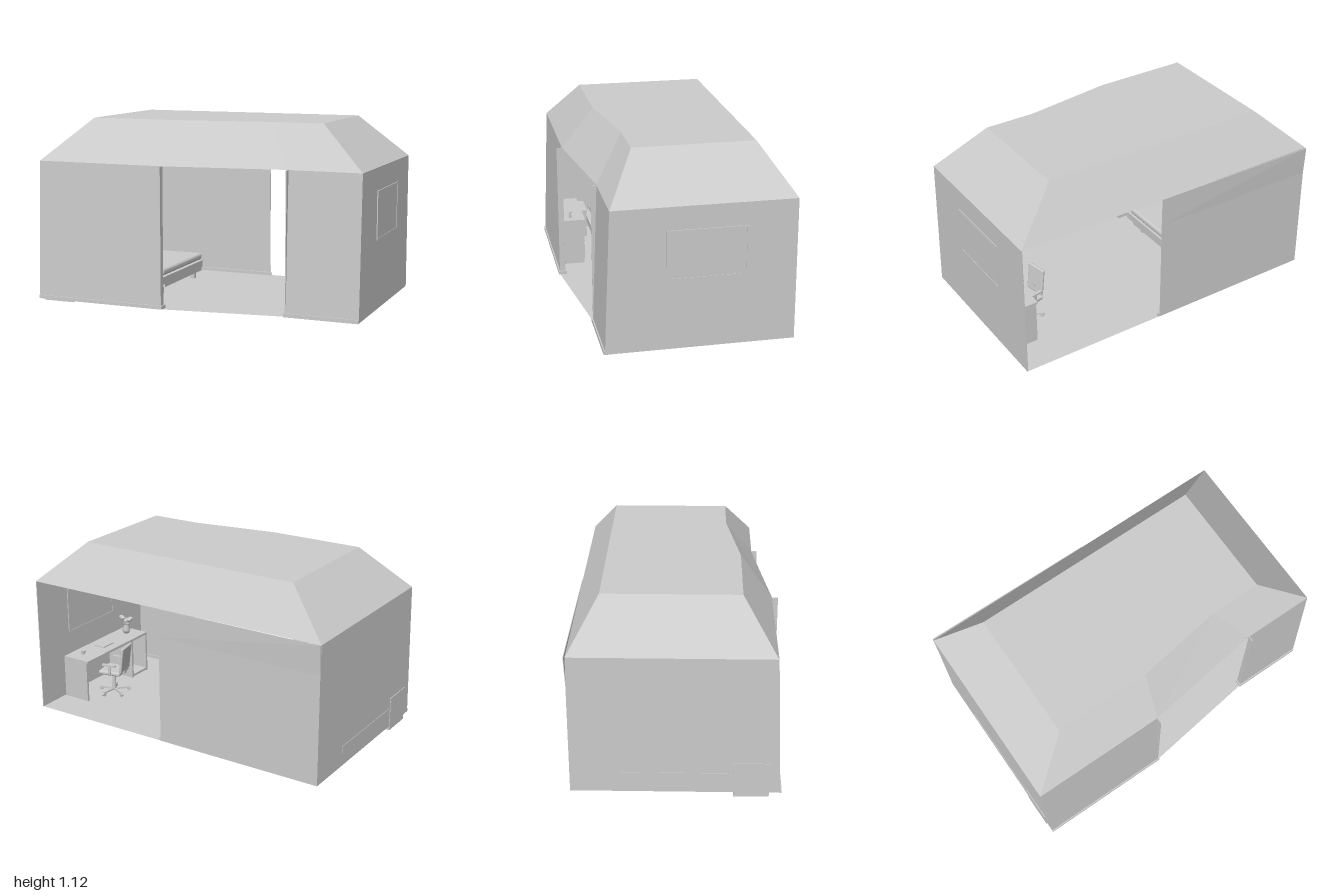
import * as THREE from 'three';
import { RoundedBoxGeometry } from 'three/addons/geometries/RoundedBoxGeometry.js';

const grey = new THREE.MeshStandardMaterial({ color: 0xcccccc, flatShading: true, side: THREE.DoubleSide });
const smooth = new THREE.MeshStandardMaterial({ color: 0xcccccc, side: THREE.DoubleSide });
const FLOOR = 0.025, TOP = 0.865, RIDGE = 1.12;

function add(parent, name, geometry, material = grey) {
  const mesh = new THREE.Mesh(geometry, material);
  mesh.name = name;
  parent.add(mesh);
  return mesh;
}

// Box given by its two extreme corners
function box(parent, name, x0, x1, y0, y1, z0, z1) {
  const mesh = add(parent, name, new THREE.BoxGeometry(x1 - x0, y1 - y0, z1 - z0));
  mesh.position.set((x0 + x1) / 2, (y0 + y1) / 2, (z0 + z1) / 2);
  return mesh;
}

// Moves the upper vertices of a box in z by a rule of local x and z
function lean(mesh, shift) {
  const pos = mesh.geometry.attributes.position;
  for (let i = 0; i < pos.count; i++)
    if (pos.getY(i) > 0) pos.setZ(i, pos.getZ(i) + shift(pos.getX(i), pos.getZ(i)));
  mesh.geometry.computeVertexNormals();
}

function cylinder(parent, name, r0, r1, h, x, y, z, sides = 20) {
  const mesh = add(parent, name, new THREE.CylinderGeometry(r0, r1, h, sides), smooth);
  mesh.position.set(x, y + h / 2, z);
  return mesh;
}

function group(parent, name) {
  const g = new THREE.Group();
  g.name = name;
  parent.add(g);
  return g;
}

// Horizontal polygon from [x, z] points, facing up
function flat(points, y) {
  const g = new THREE.ShapeGeometry(new THREE.Shape(points.map(([x, z]) => new THREE.Vector2(x, -z))));
  return g.rotateX(-Math.PI / 2).translate(0, y, 0);
}

// Sloping roof faces between the eaves and the upper ring
function roofSlopes(eaves, upper) {
  const p = [];
  eaves.forEach((a, i) => {
    const j = (i + 1) % eaves.length, b = eaves[j], c = upper[j], d = upper[i];
    const A = [a[0], TOP, a[1]], B = [b[0], TOP, b[1]], C = [c[0], RIDGE, c[1]], D = [d[0], RIDGE, d[1]];
    p.push(...A, ...B, ...C, ...A, ...C, ...D);
  });
  const g = new THREE.BufferGeometry();
  g.setAttribute('position', new THREE.Float32BufferAttribute(p, 3));
  g.computeVertexNormals();
  return g;
}

function buildShell(root) {
  const s = group(root, 'shell');
  add(s, 'floor', flat([[-0.995, 0.595], [-0.18, 0.595], [0.55, 0.495], [0.993, 0.495], [0.993, -0.59], [-0.995, -0.59]], FLOOR));
  box(s, 'leftSideWall', 0.988, 0.993, FLOOR, TOP, -0.59, 0.46);
  box(s, 'rightSideWall', -0.995, -0.99, FLOOR, TOP, -0.59, 0.56);
  // Front walls taper to the eaves; upright jambs frame the opening
  for (const [name, x0, x1, z] of [['frontWallWide', -0.995, -0.18, 0.56], ['frontWallNarrow', 0.557, 0.993, 0.46]])
    lean(box(s, name, x0, x1, FLOOR, TOP, z, z + 0.035), (x, dz) => (dz > 0 ? -0.034 : 0));
  box(s, 'wideJamb', -0.184, -0.179, FLOOR, TOP, 0.56, 0.595);
  box(s, 'narrowJamb', 0.555, 0.56, FLOOR, TOP, 0.46, 0.495);
  // Back wall, its upper band leaning out slightly towards one corner
  box(s, 'backWall', -0.995, 0.07, FLOOR, 0.69, -0.592, -0.588);
  const band = box(s, 'backWallBand', -0.995, 0.07, 0.69, TOP, -0.592, -0.588);
  lean(band, x => (x < 0 ? -0.009 : -0.002));
  // Skirting boards
  box(s, 'frontSkirtingWide', -0.995, -0.17, FLOOR, 0.045, 0.552, 0.602);
  box(s, 'frontSkirtingNarrow', 0.547, 0.99, 0.023, 0.045, 0.452, 0.502);
  box(s, 'backSkirting', -0.99, 0.08, FLOOR, 0.045, -0.59, -0.575);
  // Hipped roof with a flat top
  const eaves = [[-0.995, 0.56], [-0.18, 0.56], [0.55, 0.46], [0.993, 0.46], [0.993, -0.59], [-0.995, -0.59]];
  const upper = [[-0.72, 0.37], [-0.14, 0.37], [0.4, 0.29], [0.71, 0.29], [0.71, -0.42], [-0.72, -0.42]];
  add(s, 'roofSlopes', roofSlopes(eaves, upper));
  add(s, 'roofTop', flat(upper, RIDGE));
  // Window in the side wall
  const w = group(s, 'window');
  box(w, 'windowPane', 0.985, 0.996, 0.45, 0.72, -0.3, 0.14);
  for (const y of [0.44, 0.72]) box(w, 'windowRail', 0.982, 0.999, y, y + 0.01, -0.31, 0.15);
  for (const z of [-0.31, 0.14]) box(w, 'windowStile', 0.982, 0.999, 0.44, 0.73, z, z + 0.01);
}

function buildBed(root) {
  const b = group(root, 'bed');
  box(b, 'bedFrame', -0.985, -0.31, 0.08, 0.1, -0.31, 0.26);
  box(b, 'bedBase', -0.998, -0.3, 0.105, 0.15, -0.3, 0.32);
  const mattress = add(b, 'mattress', new RoundedBoxGeometry(0.68, 0.045, 0.6, 3, 0.018), smooth);
  mattress.position.set(-0.645, 0.176, -0.01);
  for (const z of [-0.17, 0.12]) {
    const pillow = add(b, 'pillow', new RoundedBoxGeometry(0.15, 0.04, 0.23, 3, 0.018), smooth);
    pillow.position.set(-0.89, 0.216, z);
  }
  for (const x of [-0.94, -0.36]) for (const z of [-0.29, 0.21])
    box(b, 'bedLeg', x - 0.014, x + 0.014, FLOOR, 0.08, z - 0.014, z + 0.014);
  add(root, 'rug', flat([[-0.6, 0.37], [-0.04, 0.37], [-0.04, -0.45], [-0.6, -0.45]], 0.028));
}

function buildStorage(root) {
  const n = group(root, 'nightstand');
  box(n, 'nightstandBody', -0.999, -0.8, 0, 0.2, 0.33, 0.53);
  box(n, 'nightstandTop', -1, -0.795, 0.2, 0.215, 0.325, 0.535);
  const c = group(root, 'dresser');
  box(c, 'dresserBody', -0.7, -0.3, 0.04, 0.29, 0.42, 0.545);
  box(c, 'dresserTop', -0.71, -0.29, 0.29, 0.34, 0.41, 0.552);
  for (const y of [0.06, 0.175]) box(c, 'drawerFront', -0.68, -0.32, y, y + 0.1, 0.412, 0.42);
  buildPlant(c, -0.35, 0.34, 0.5, 0.35);
  // Wardrobe with a framed door
  const w = group(root, 'wardrobe');
  box(w, 'wardrobeBody', -0.95, -0.77, FLOOR, 0.68, -0.58, -0.49);
  for (const x of [-0.95, -0.785]) box(w, 'wardrobeStile', x, x + 0.015, FLOOR, 0.68, -0.49, -0.475);
  for (const y of [FLOOR, 0.665]) box(w, 'wardrobeRail', -0.95, -0.77, y, y + 0.015, -0.49, -0.475);
}

// Vase with a cluster of leaves
function buildPlant(parent, x, y, z, scale = 1) {
  const p = group(parent, 'plant');
  const profile = [[0, 0], [0.018, 0], [0.028, 0.025], [0.014, 0.055], [0.02, 0.065]];
  add(p, 'vase', new THREE.LatheGeometry(profile.map(q => new THREE.Vector2(...q)), 16), smooth);
  for (let i = 0; i < 7; i++) {
    const a = i * 2.4, r = i ? 0.03 : 0;
    const leaf = add(p, 'leaf', new THREE.SphereGeometry(0.018, 8, 6), smooth);
    leaf.scale.set(1, 0.6, 1);
    leaf.position.set(r * Math.cos(a), 0.085 + (i % 3) * 0.015, r * Math.sin(a));
  }
  p.position.set(x, y, z);
  p.scale.setScalar(scale);
}

function buildDesk(root) {
  const d = group(root, 'desk');
  box(d, 'deskTop', 0.79, 0.98, 0.285, 0.3, -0.375, 0.26);
  box(d, 'deskEnd', 0.8, 0.98, FLOOR, 0.285, -0.375, -0.36);
  for (const z of [0.09, 0.245]) box(d, 'shelfSide', 0.79, 0.98, FLOOR, 0.285, z, z + 0.015);
  box(d, 'shelfBack', 0.97, 0.98, FLOOR, 0.285, 0.09, 0.26);
  box(d, 'shelfBase', 0.79, 0.98, 0.03, 0.045, 0.1, 0.25);
  box(d, 'notebook', 0.85, 0.93, 0.3, 0.307, -0.13, -0.03);
  cylinder(d, 'cup', 0.014, 0.011, 0.025, 0.9, 0.3, -0.28);
  buildPlant(d, 0.9, 0.3, 0.18);
}

// Swivel chair on a five-armed base
function buildChair(root) {
  const c = group(root, 'deskChair');
  for (let i = 0; i < 5; i++) {
    const arm = group(c, 'chairBaseArm');
    box(arm, 'arm', 0, 0.1, 0.043, 0.054, -0.005, 0.005);
    const caster = cylinder(arm, 'caster', 0.012, 0.012, 0.016, 0.095, 0.03, 0, 12);
    caster.rotation.x = Math.PI / 2;
    arm.rotation.y = i * Math.PI * 0.4;
  }
  cylinder(c, 'chairColumn', 0.01, 0.013, 0.12, 0, 0.05, 0, 12);
  const seat = add(c, 'chairSeat', new RoundedBoxGeometry(0.15, 0.028, 0.15, 3, 0.012), smooth);
  seat.position.set(0, 0.18, 0);
  const back = add(c, 'chairBack', new RoundedBoxGeometry(0.018, 0.17, 0.13, 3, 0.008), smooth);
  back.position.set(-0.085, 0.275, 0);
  back.rotation.z = 0.12;
  box(c, 'backSupport', -0.085, -0.07, 0.17, 0.25, -0.015, 0.015);
  for (const z of [-0.08, 0.08]) {
    box(c, 'armrest', -0.05, 0.04, 0.235, 0.247, z - 0.01, z + 0.01);
    box(c, 'armrestPost', -0.015, 0, 0.18, 0.236, z - 0.005, z + 0.005);
  }
  c.position.set(0.75, 0, -0.16);
  c.rotation.y = 0.2;
}

export function createModel() {
  const root = new THREE.Group();
  root.name = 'furnishedRoom';
  buildShell(root);
  buildBed(root);
  buildStorage(root);
  buildDesk(root);
  buildChair(root);
  return root;
}
